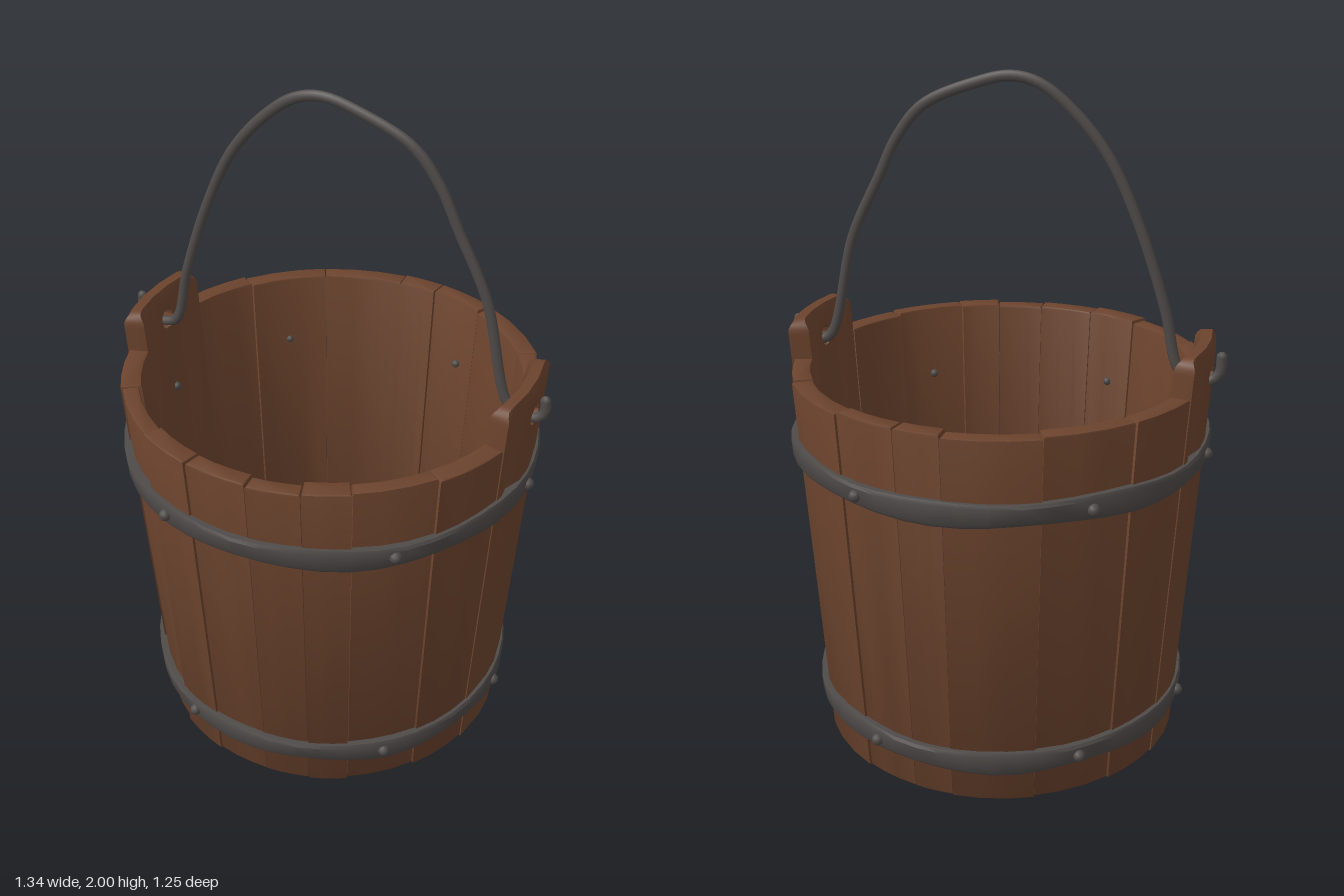
import * as THREE from 'three';
import { mergeGeometries, toCreasedNormals } from 'three/addons/utils/BufferGeometryUtils.js';

const WALL = 0.055, FLARE = 0.065, BASE = 0.542;
const outer = (y) => BASE + FLARE * y;

export function createModel() {
  const root = new THREE.Group();
  const wood = new THREE.MeshStandardMaterial({ color: 0x6b432d });
  wood.name = 'brown wood';
  const iron = new THREE.MeshStandardMaterial({ color: 0x4f4b49 });
  iron.name = 'dark iron';

  const add = (name, geometry, material, parent = root) => {
    const mesh = new THREE.Mesh(geometry, material);
    mesh.name = name;
    parent.add(mesh);
    return mesh;
  };
  const group = (name) => {
    const g = new THREE.Group();
    g.name = name;
    root.add(g);
    return g;
  };
  // Move every vertex by a rule
  const warp = (geometry, rule) => {
    const p = geometry.attributes.position;
    const v = new THREE.Vector3();
    for (let i = 0; i < p.count; i++) {
      rule(v.fromBufferAttribute(p, i));
      p.setXYZ(i, v.x, v.y, v.z);
    }
    return geometry;
  };

  // Wall staves: bevelled ring sectors that flare with height
  const staves = group('staves');
  const makeStave = (a0, a1, i) => {
    const ro = BASE + 0.004 * Math.sin(i * 2.4);
    const ri = BASE - WALL + 0.005 * Math.sin(i * 3.7);
    const h = 1.16 - 0.004 * (1 + Math.sin(i * 1.9));
    const shape = new THREE.Shape();
    const gap = 0.002, n = 3;
    const at = (r, t) => {
      const a = a0 + gap + (a1 - a0 - 2 * gap) * t;
      return new THREE.Vector2(r * Math.cos(a), r * Math.sin(a));
    };
    const pts = [];
    for (let k = 0; k <= n; k++) pts.push(at(ro, k / n));
    for (let k = n; k >= 0; k--) pts.push(at(ri, k / n));
    shape.setFromPoints(pts);
    const b = 0.007;
    const g = new THREE.ExtrudeGeometry(shape, {
      depth: h - 2 * b, bevelSize: b, bevelThickness: b, bevelOffset: -b, bevelSegments: 2,
    });
    g.rotateX(Math.PI / 2).translate(0, h - b, 0);
    warp(g, (v) => {
      const r = Math.hypot(v.x, v.z), s = (r + FLARE * v.y) / r;
      v.x *= s;
      v.z *= s;
    });
    add('stave', toCreasedNormals(g, 0.5), wood, staves);
  };
  const front = [0.275, 0.64, 1.03, 1.25, 1.5, 1.81, 2.11, 2.52, 2.867];
  const back = [0.275, 0.6, 1.08, 1.4, 1.62, 2.06, 2.5, 2.867];
  for (let i = 1; i < front.length; i++) makeStave(front[i - 1], front[i], i);
  for (let i = 1; i < back.length; i++) makeStave(-back[i], -back[i - 1], i + 9);

  // Tall ear staves, each from three strips bent round the wall, with a handle hole
  const W = 0.165, M = 0.042, TOP = 1.27;
  const side = (s) => {
    const shape = new THREE.Shape();
    shape.moveTo(s * M, 0);
    shape.lineTo(s * M, 1.24);
    shape.lineTo(s * M, TOP);
    shape.lineTo(s * (W - 0.045), TOP);
    shape.quadraticCurveTo(s * W, TOP, s * W, TOP - 0.045);
    shape.lineTo(s * W, 0);
    return shape;
  };
  const middle = new THREE.Shape();
  [[-M, 0], [M, 0], [M, 1.24], [M, TOP], [-M, TOP], [-M, 1.24]].forEach(([x, y], i) =>
    i ? middle.lineTo(x, y) : middle.moveTo(x, y));
  const hole = new THREE.Path();
  hole.absarc(0, 1.178, 0.032, 0, Math.PI * 2, true);
  middle.holes.push(hole);
  const strips = [side(-1), middle, side(1)].map((s) =>
    new THREE.ExtrudeGeometry(s, { depth: WALL + 0.006, bevelEnabled: false, curveSegments: 5 }));
  const earGeometry = warp(mergeGeometries(strips), (v) => {
    const mid = WALL / 2;
    const pinch = 1 - 0.5 * THREE.MathUtils.smoothstep(v.y, 1.24, TOP);
    const r = outer(v.y) - WALL + mid + (v.z - mid) * pinch;
    const a = -v.x / 0.6;
    v.x = r * Math.cos(a);
    v.z = r * Math.sin(a);
  });
  const ear = toCreasedNormals(earGeometry, 0.6);
  add('leftEarStave', ear, wood, staves);
  add('rightEarStave', ear, wood, staves).rotation.y = Math.PI;

  // Floor planks: strips of a disc
  const floor = group('floor');
  const R = 0.492;
  const seams = [-R, -0.31, -0.145, 0.018, 0.18, 0.32, R];
  for (let i = 1; i < seams.length; i++) {
    const x0 = seams[i - 1] + 0.001, x1 = seams[i] - 0.001, n = 8;
    const pts = [];
    const edge = (k, s) => {
      const x = x0 + (x1 - x0) * (1 - Math.cos(Math.PI * k / n)) / 2;
      return new THREE.Vector2(x, s * Math.sqrt(R * R - x * x));
    };
    for (let k = 0; k <= n; k++) pts.push(edge(k, -1));
    for (let k = n; k >= 0; k--) pts.push(edge(k, 1));
    const g = new THREE.ExtrudeGeometry(new THREE.Shape(pts), { depth: 0.05, bevelEnabled: false });
    g.rotateX(-Math.PI / 2).translate(0, 0.04, 0);
    add('floorPlank', g, wood, floor);
  }
  const ring = new THREE.TorusGeometry(0.486, 0.007, 6, 48);
  ring.rotateX(Math.PI / 2).translate(0, 0.092, 0);
  add('floorRing', ring, iron, floor);

  // Hammered iron hoops with rivets through the wall
  const rivetAngles = [0, 0.84, 1.955, Math.PI, -1.2, -2.285];
  [['upper', 0.937], ['lower', 0.137]].forEach(([label, y], n) => {
    const hoop = group(label + 'Hoop');
    const r = outer(y), H = 0.034;
    const profile = [[-0.012, -H], [0.014, -H], [0.02, -H + 0.01], [0.02, H - 0.01],
      [0.014, H], [-0.012, H], [-0.012, -H]]
      .map(([dr, dy]) => new THREE.Vector2(r + dr + FLARE * dy, y + dy));
    const g = warp(new THREE.LatheGeometry(profile, 48), (v) => {
      const a = Math.atan2(v.z, v.x);
      v.y += 0.004 * Math.sin(a * 5 + n) + (v.y - y) * 0.12 * Math.sin(a * 7 + 2 * n);
      const s = 1 + 0.003 * Math.sin(a * 9 + n);
      v.x *= s;
      v.z *= s;
    });
    add('band', toCreasedNormals(g, 0.6), iron, hoop);
    for (const a of rivetAngles) {
      for (const [name, d, size] of [['rivet', r + 0.021, 0.018], ['rivetTip', r - WALL - 0.002, 0.013]]) {
        const rivet = add(name, new THREE.SphereGeometry(size, 10, 7), iron, hoop);
        rivet.position.set(d * Math.cos(a), y, d * Math.sin(a));
      }
    }
  });

  // Bent wire handle, hooked up through both ears
  const path = [[-0.652, 1.235], [-0.65, 1.19], [-0.625, 1.163], [-0.575, 1.165], [-0.532, 1.185],
    [-0.485, 1.36], [-0.4, 1.6], [-0.31, 1.78], [-0.2, 1.905], [-0.11, 1.968], [-0.03, 1.984],
    [0.07, 1.962], [0.23, 1.893], [0.31, 1.8], [0.37, 1.68], [0.46, 1.495], [0.54, 1.19],
    [0.58, 1.165], [0.625, 1.163], [0.65, 1.185], [0.65, 1.225]]
    .map(([x, y]) => new THREE.Vector3(x, y, 0));
  const curve = new THREE.CatmullRomCurve3(path, false, 'centripetal');
  const handle = group('handle');
  add('handleWire', new THREE.TubeGeometry(curve, 110, 0.016, 8), iron, handle);
  for (const end of [path[0], path[path.length - 1]]) {
    add('handleTip', new THREE.SphereGeometry(0.016, 8, 6), iron, handle).position.copy(end);
  }
  handle.scale.z = 0.8;
  handle.position.z = -0.005;

  return root;
}
